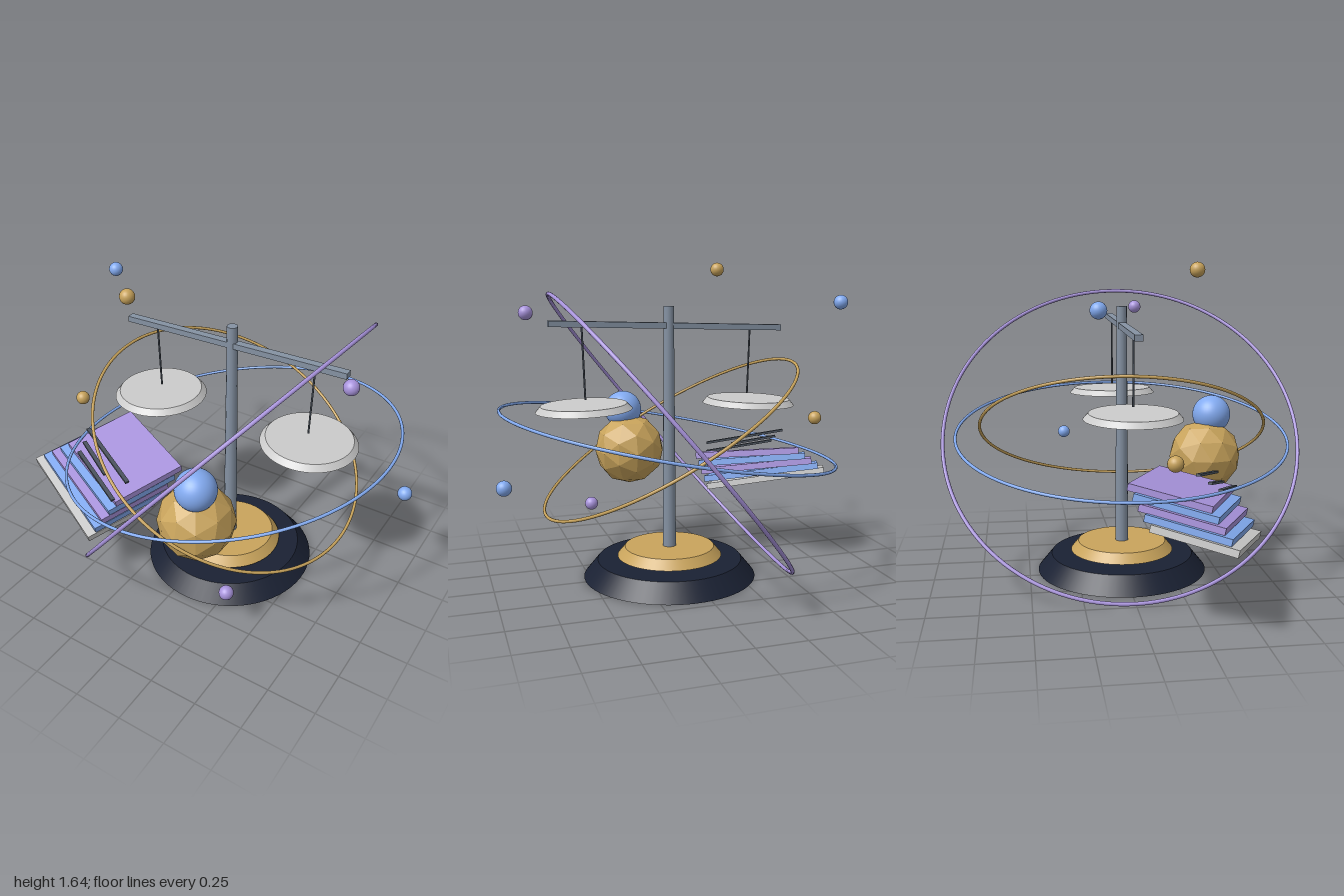
import * as THREE from 'three';

const mat = (color, extra = {}) => new THREE.MeshStandardMaterial({ color, ...extra });
const NAVY = mat(0x1a2133), GOLD = mat(0xc9a45c), BLUE = mat(0x82aaf0), PURPLE = mat(0xa893dc);
const STEEL = mat(0x8592a3), GREY = mat(0xcccccc), PAN = mat(0xe4e4e4), DARK = mat(0x4b535e);
const FACETED_GOLD = mat(0xc9a45c, { flatShading: true });

const CX = 0.08; // axis of the stand

export function createModel() {
  const root = new THREE.Group();
  const add = (name, geometry, material, x, y, z, parent = root) => {
    const mesh = new THREE.Mesh(geometry, material);
    mesh.name = name;
    mesh.position.set(x, y, z);
    parent.add(mesh);
    return mesh;
  };

  // Stand: two tapered discs, tapered post
  add('base', new THREE.CylinderGeometry(0.38, 0.453, 0.09, 64), NAVY, CX, 0.045, 0);
  add('baseCollar', new THREE.CylinderGeometry(0.235, 0.275, 0.048, 64), GOLD, CX, 0.131, 0);
  add('post', new THREE.CylinderGeometry(0.027, 0.036, 1.325, 12), STEEL, CX, 0.752, 0);

  // Slightly tipped beam
  add('beam', new THREE.BoxGeometry(1.23, 0.03, 0.04), STEEL, CX, 1.316, 0).rotation.z = 0.032;

  // Hanging pans, each leaning a little inwards
  for (const [side, x, y, top] of [[-1, -0.36, 0.912, 1.297], [1, 0.525, 0.917, 1.328]]) {
    const name = side < 0 ? 'right' : 'left';
    const pan = add(name + 'Pan', new THREE.CylinderGeometry(0.217, 0.243, 0.03, 48), PAN, x, y, 0);
    pan.rotation.z = -side * 0.033;
    const length = top - 0.953;
    const string = add(name + 'String', new THREE.CylinderGeometry(0.005, 0.005, length, 8), DARK,
      x - side * 0.002, 0.953 + length / 2, 0);
    string.rotation.z = -side * 0.033;
  }

  // Orbit rings: lean about z after a small tip about x
  const rings = [
    ['blueRing', BLUE, 0.872, 0.008, 10.2, 0],
    ['goldRing', GOLD, 0.748, 0.008, -30, 3],
    ['purpleRing', PURPLE, 0.942, 0.01, 50.5, -3],
  ];
  for (const [name, material, radius, tube, lean, tip] of rings) {
    const geometry = new THREE.TorusGeometry(radius, tube, 10, 128).rotateX(Math.PI / 2);
    const ring = add(name, geometry, material, CX + 0.003, 0.752, 0);
    ring.rotation.set(THREE.MathUtils.degToRad(tip), 0, THREE.MathUtils.degToRad(lean), 'ZXY');
  }

  // Faceted boulder with a smooth ball on it
  add('facetedBall', new THREE.IcosahedronGeometry(0.197, 1), FACETED_GOLD, 0.175, 0.59, 0.475);
  add('smoothBall', new THREE.SphereGeometry(0.104, 40, 24), BLUE, 0.2, 0.815, 0.515);

  // Small floating beads
  const beads = [
    [BLUE, -0.782, 1.432, -0.208], [BLUE, 0.957, 0.594, -0.257],
    [GOLD, -0.295, 1.6, 0.316], [GOLD, -0.815, 0.776, 0.119],
    [PURPLE, 0.78, 1.383, 0.167], [PURPLE, 0.387, 0.268, 0.541],
  ];
  const beadGeometry = new THREE.SphereGeometry(0.037, 24, 16);
  beads.forEach(([material, x, y, z]) => add('bead', beadGeometry, material, x, y, z));

  // Stack of sheets: shifting, shortening and levelling towards the top
  const stack = new THREE.Group();
  stack.name = 'sheetStack';
  root.add(stack);
  const lerp = THREE.MathUtils.lerp;
  [GREY, BLUE, PURPLE, BLUE, PURPLE].forEach((material, i) => {
    const t = i / 4;
    const sheet = add('sheet', new THREE.BoxGeometry(lerp(0.664, 0.56, t), 0.034, 0.4), material,
      lerp(-0.614, -0.461, t), lerp(0.402, 0.575, t), lerp(0.319, 0.228, t), stack);
    sheet.rotation.set(0.19, -0.43, lerp(-0.17, -0.075, t), 'YZX');
  });

  // Thin bars hovering over the top sheet, given by their two ends
  const bars = [
    [[-0.678, 0.69, 0.25], [-0.28, 0.605, 0.432]],
    [[-0.66, 0.645, 0.31], [-0.43, 0.592, 0.425]],
    [[-0.66, 0.61, 0.36], [-0.31, 0.535, 0.52]],
  ];
  for (const [a, b] of bars) {
    const start = new THREE.Vector3(...a), end = new THREE.Vector3(...b);
    const mid = start.clone().lerp(end, 0.5);
    const bar = add('sheetBar', new THREE.BoxGeometry(0.022, 0.012, start.distanceTo(end)), DARK,
      mid.x, mid.y, mid.z, stack);
    bar.lookAt(end);
  }

  return root;
}
